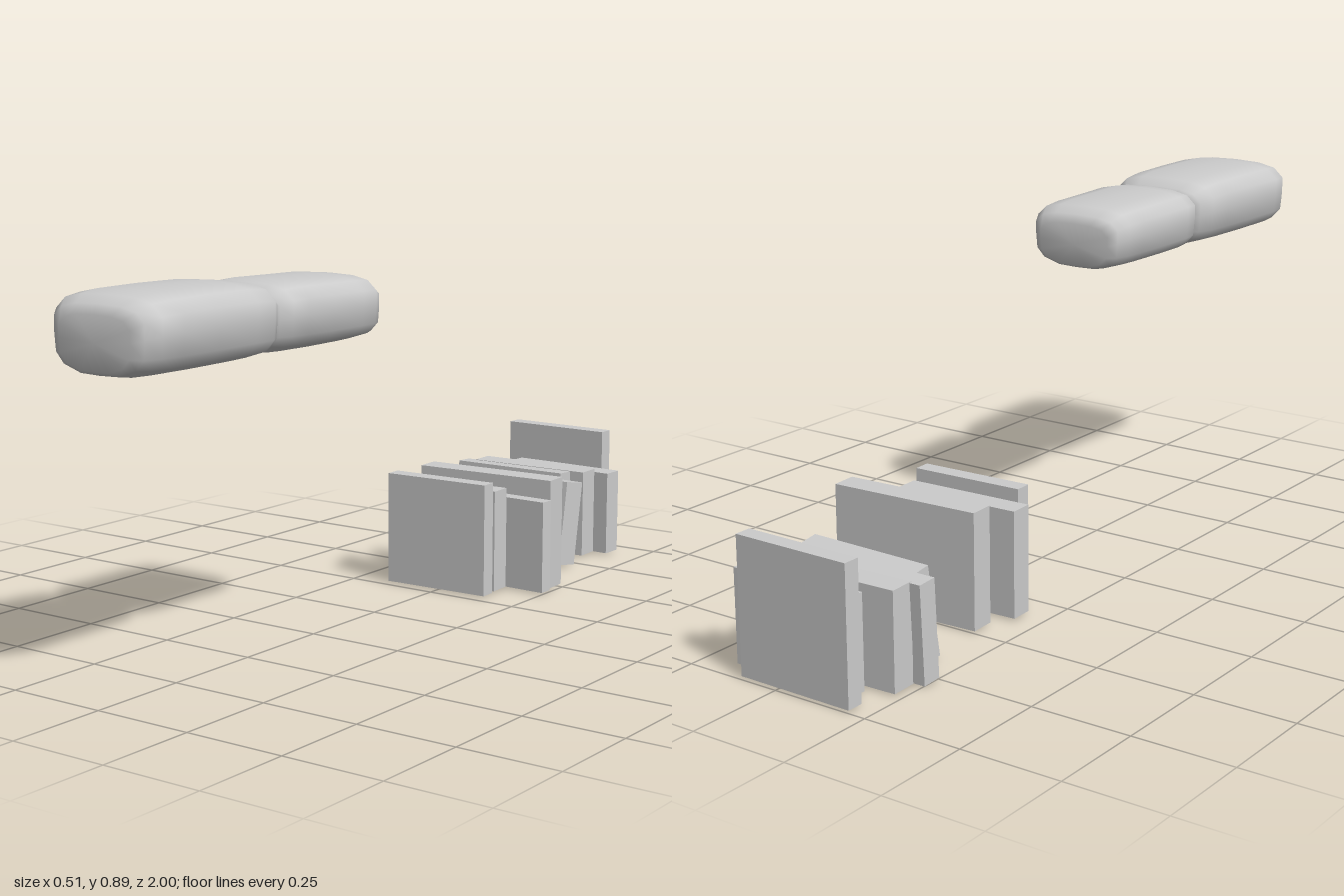
import * as THREE from 'three';

const grey = new THREE.MeshStandardMaterial({ color: 0xcccccc });
grey.name = 'light grey';

// Cross-section of a cushion, counter-clockwise, in units of half its width and height
const RING = [
  [0.97, -0.45], [1, 0.1], [1, 0.56], [0.82, 0.85], [0.5, 0.97], [0, 1],
  [-0.5, 0.97], [-0.82, 0.85], [-1, 0.56], [-1, 0.1], [-0.97, -0.45],
  [-0.8, -0.77], [-0.42, -0.98], [0, -1], [0.42, -0.98], [0.8, -0.77],
];

// Lofts the ring through sections along z: [z, centre x, half width, bottom, top]
function cushion(name, sections) {
  const n = RING.length, pos = [], index = [];
  for (const [z, cx, hw, y0, y1] of sections) {
    for (const [u, v] of RING) pos.push(cx + u * hw, (y0 + y1) / 2 + v * (y1 - y0) / 2, z);
  }
  for (let i = 0; i < sections.length - 1; i++) {
    for (let j = 0; j < n; j++) {
      const a = i * n + j, b = i * n + (j + 1) % n;
      index.push(a, b, b + n, a, b + n, a + n);
    }
  }
  // Close both ends with fans that share the end rings
  const last = sections.length - 1;
  for (const i of [0, last]) {
    const [z, cx, , y0, y1] = sections[i];
    const centre = pos.length / 3;
    pos.push(cx, (y0 + y1) / 2, z);
    for (let j = 0; j < n; j++) {
      const a = i * n + j, b = i * n + (j + 1) % n;
      if (i === last) index.push(centre, a, b);
      else index.push(centre, b, a);
    }
  }
  const geo = new THREE.BufferGeometry();
  geo.setAttribute('position', new THREE.Float32BufferAttribute(pos, 3));
  geo.setIndex(index);
  geo.computeVertexNormals();
  const mesh = new THREE.Mesh(geo, grey);
  mesh.name = name;
  return mesh;
}

// Books: [centre x, centre y, centre z, width, height, thickness, yaw, lean]
const FRONT_BOOKS = [
  [-0.002, 0.156, -0.295, 0.295, 0.292, 0.043, 0.035, 0],
  [-0.025, 0.143, -0.36, 0.33, 0.265, 0.06, 0.035, 0],
  [0.068, 0.13, -0.42, 0.365, 0.24, 0.038, -0.025, 0],
  [0.04, 0.153, -0.473, 0.395, 0.288, 0.065, 0.05, 0],
];
const BACK_BOOKS = [
  [-0.022, 0.124, -0.719, 0.335, 0.228, 0.078, -0.03, -0.162],
  [-0.088, 0.128, -0.786, 0.335, 0.237, 0.052, 0.01, -0.05],
  [-0.055, 0.128, -0.848, 0.348, 0.237, 0.066, 0.035, 0],
  [-0.002, 0.123, -0.922, 0.325, 0.228, 0.058, -0.035, 0],
  [-0.05, 0.175, -0.974, 0.308, 0.33, 0.042, -0.01, 0],
];

function bookRow(name, books) {
  const row = new THREE.Group();
  row.name = name;
  books.forEach(([x, y, z, w, h, t, yaw, lean], i) => {
    const book = new THREE.Mesh(new THREE.BoxGeometry(w, h, t), grey);
    book.name = `book${i + 1}`;
    book.position.set(x, y, z);
    book.rotation.set(lean, yaw, 0, 'YXZ');
    row.add(book);
  });
  return row;
}

export function createModel() {
  const model = new THREE.Group();
  model.name = 'cushionsAndBooks';

  model.add(cushion('frontCushion', [
    [0.538, 0.012, 0.1, 0.735, 0.855],
    [0.553, 0.012, 0.128, 0.726, 0.875],
    [0.585, 0.012, 0.148, 0.722, 0.892],
    [0.65, 0.012, 0.155, 0.721, 0.898],
    [0.78, 0.012, 0.158, 0.72, 0.9],
    [0.9, 0.013, 0.161, 0.721, 0.899],
    [0.955, 0.013, 0.15, 0.722, 0.893],
    [0.985, 0.013, 0.128, 0.726, 0.876],
    [1.0, 0.013, 0.1, 0.735, 0.855],
  ]));

  model.add(cushion('backCushion', [
    [0.15, 0.01, 0.1, 0.735, 0.84],
    [0.163, 0.01, 0.123, 0.728, 0.862],
    [0.195, 0.01, 0.138, 0.724, 0.878],
    [0.25, 0.01, 0.143, 0.723, 0.882],
    [0.36, 0.01, 0.144, 0.722, 0.884],
    [0.46, 0.01, 0.146, 0.723, 0.886],
    [0.505, 0.01, 0.138, 0.724, 0.882],
    [0.532, 0.01, 0.12, 0.728, 0.868],
    [0.545, 0.01, 0.096, 0.737, 0.85],
  ]));

  model.add(bookRow('frontBooks', FRONT_BOOKS));
  model.add(bookRow('backBooks', BACK_BOOKS));
  return model;
}
